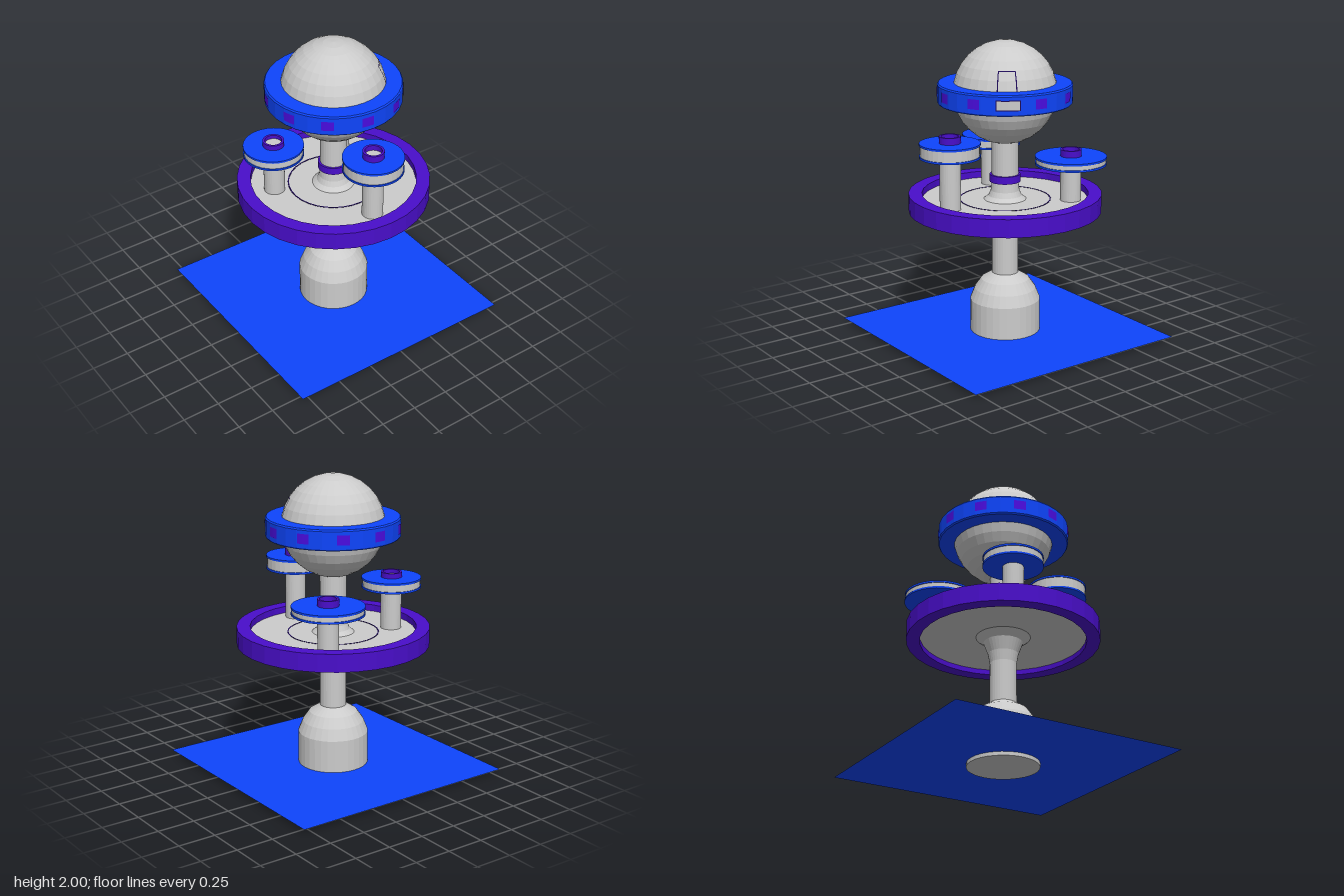
import * as THREE from 'three';

const RAD = Math.PI / 180;
const SIDES = 32;
const paint = (color) => new THREE.MeshStandardMaterial({ color, flatShading: true, side: THREE.DoubleSide });

export function createModel() {
  const model = new THREE.Group();
  const grey = paint(0xcccccc), blue = paint(0x0e45fc), purple = paint(0x490ecb);
  const violet = paint(0x4a0ce0), dark = paint(0x1c0a55);

  const add = (name, geometry, material, parent = model) => {
    const mesh = new THREE.Mesh(geometry, material);
    mesh.name = name;
    parent.add(mesh);
    return mesh;
  };
  const lathe = (points) => new THREE.LatheGeometry(points.map(([r, y]) => new THREE.Vector2(r, y)), SIDES);
  const disc = (r, y0, y1) => lathe([[0, y0], [r, y0], [r, y1], [0, y1]]);
  const ring = (outer, inner, y0, y1) =>
    lathe([[outer, y0], [outer, y1], [inner, y1], [inner, y0], [outer, y0]]);

  // Ground sheet, slightly above the foot of the tower
  const ground = add('groundSheet', new THREE.PlaneGeometry(1.6, 1.6), blue);
  ground.rotation.x = -Math.PI / 2;
  ground.position.y = 0.025;

  // Domed base, then the shaft flaring where it meets the platform
  add('base', lathe([[0, 0], [0.235, 0], [0.235, 0.245], [0.205, 0.32], [0.16, 0.385], [0.088, 0.43]]), grey);
  add('shaft', lathe([[0.088, 0.42], [0.088, 0.71], [0.1, 0.78], [0.13, 0.86], [0.18, 0.9],
    [0.14, 0.94], [0.11, 0.965], [0.095, 1.0], [0.088, 1.06], [0.088, 1.38]]), grey);
  add('shaftCollar', ring(0.102, 0.08, 1.06, 1.11), purple);

  // Round platform with a raised rim and an inlaid line
  add('platformFloor', disc(0.56, 0.9, 0.94), grey);
  add('platformRim', ring(0.64, 0.55, 0.865, 0.985), purple);
  add('platformLine', ring(0.304, 0.296, 0.938, 0.942), dark);

  // Small towers: [x, z, disc radius, disc bottom, disc top, cap top]
  const pods = [
    [0, 0.435, 0.198, 1.285, 1.38, 1.425],
    [-0.368, -0.15, 0.198, 1.22, 1.29, 1.325],
    [0.28, -0.33, 0.236, 1.185, 1.24, 1.285],
  ];
  for (const [x, z, r, y0, y1, capTop] of pods) {
    const pod = new THREE.Group();
    pod.name = 'smallTower';
    pod.position.set(x, 0, z);
    model.add(pod);
    const t = 0.013;
    add('column', disc(0.069, 0.93, y1 + 0.01), grey, pod);
    add('lowerPlate', disc(r, y0, y0 + t), blue, pod);
    add('cabin', disc(r - 0.006, y0 + t, y1 - t), grey, pod);
    add('upperPlate', disc(r, y1 - t, y1), blue, pod);
    add('capRing', ring(0.07, 0.055, y1, capTop), purple, pod);
  }

  // Main globe
  const globeY = 1.66;
  add('globe', new THREE.SphereGeometry(0.34, SIDES, 16), grey).position.y = globeY;

  // Hatch on the globe: thin outline above the belt, raised panel below it
  const patch = (name, lon0, lon1, lat0, lat1, material, columns) => {
    const geometry = new THREE.SphereGeometry(0.342, columns, 3,
      (90 + lon0) * RAD, (lon1 - lon0) * RAD, (90 - lat1) * RAD, (lat1 - lat0) * RAD);
    add(name, geometry, material).position.y = globeY;
  };
  const edge = 1.3;
  patch('hatchSide', 45, 45 + edge, 0, 33.75, dark, 1);
  patch('hatchSide', 67.5 - edge, 67.5, 0, 33.75, dark, 1);
  patch('hatchTop', 45, 67.5, 33.75 - edge, 33.75, dark, 2);
  patch('lowerHatch', 45, 67.5, -33.75, 0, grey, 2);

  // Belt around the globe
  add('belt', lathe([[0.325, 1.59], [0.435, 1.59], [0.442, 1.6], [0.442, 1.715],
    [0.435, 1.725], [0.325, 1.725], [0.325, 1.59]]), blue);

  // Windows round the belt; the wide one lines up with the hatch
  const belted = (name, r, angle, width, height, material) => {
    const geometry = new THREE.CylinderGeometry(r, r, height, 4, 1, true,
      (angle - width / 2) * RAD, width * RAD);
    add(name, geometry, material).position.y = globeY;
  };
  const door = 56.5;
  for (let i = 0; i < 10; i++) belted('beltWindow', 0.444, door + 28.4 + i * 33.6, 10.5, 0.064, violet);
  belted('wideWindowFrame', 0.444, door, 20.5, 0.068, dark);
  belted('wideWindow', 0.4455, door, 18.8, 0.056, grey);

  return model;
}
